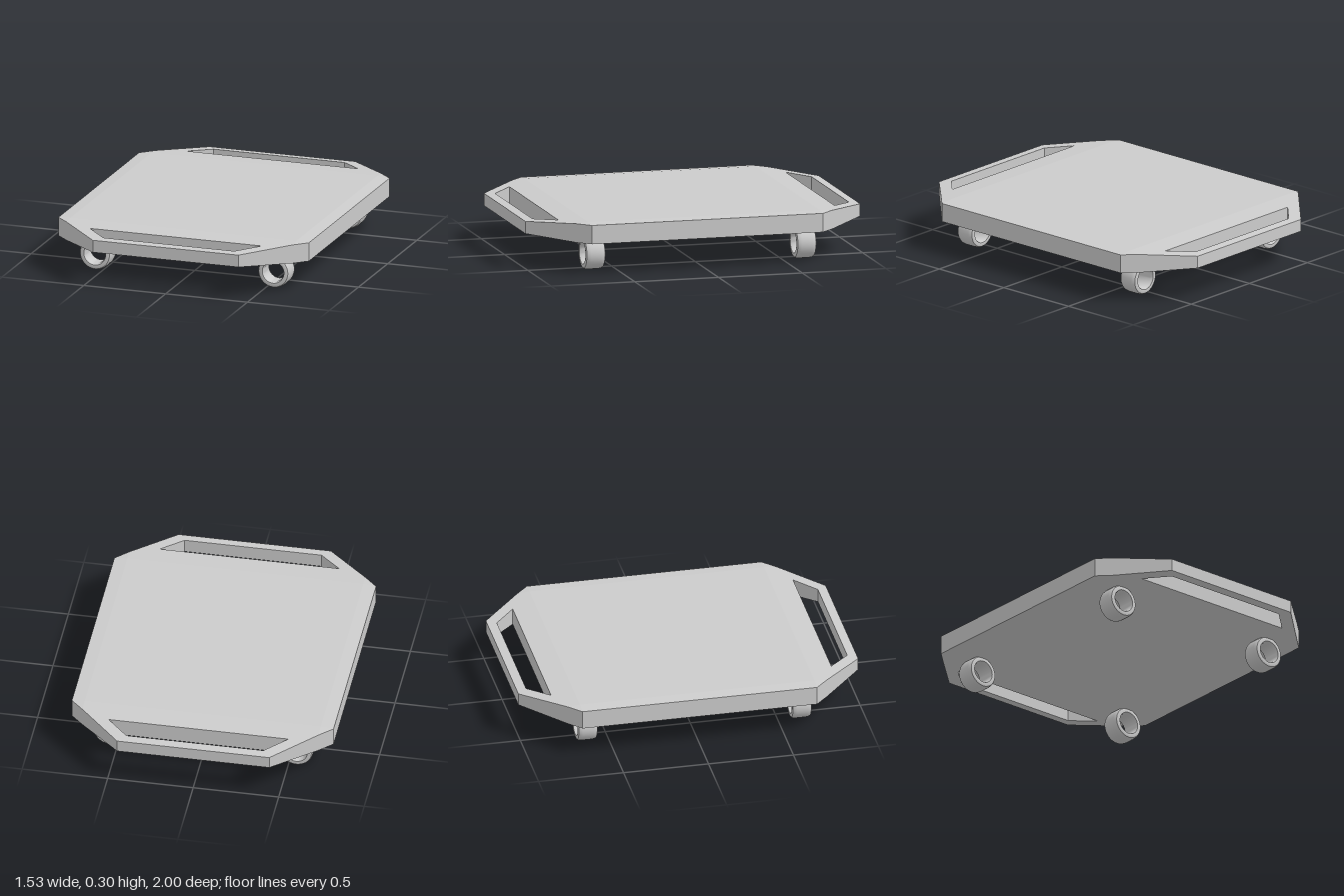
import * as THREE from 'three';
import { mergeGeometries, toCreasedNormals } from 'three/addons/utils/BufferGeometryUtils.js';

const MID = 0.241, HALF = 0.061;
const W = 0.765, IN = 0.69, ZB = 0.69, CUT = 0.763;

// half thickness of the deck: thins towards the ends and slightly at the sides
function half(x, z) {
  const dz = Math.max(0, Math.abs(z) - ZB) / (1 - ZB);
  const dx = Math.max(0, Math.abs(x) - IN) / (W - IN);
  return HALF - 0.025 * dz - 0.006 * dx;
}

const toShape = pts => new THREE.Shape(pts.map(p => new THREE.Vector2(...p)));

// one flat panel of the deck skin, on top (side 1) or underneath (side -1)
function skin(shape, side) {
  const g = new THREE.ShapeGeometry(shape).rotateX(-side * Math.PI / 2);
  const p = g.attributes.position;
  for (let i = 0; i < p.count; i++) p.setY(i, MID + side * half(p.getX(i), p.getZ(i)));
  const flat = g.toNonIndexed();
  flat.deleteAttribute('uv');
  return flat;
}

// upright walls following a closed loop
function walls(loop) {
  const v = [];
  loop.forEach(([ax, ay], i) => {
    const [bx, by] = loop[(i + 1) % loop.length];
    const ha = half(ax, ay), hb = half(bx, by);
    const a0 = [ax, MID - ha, -ay], a1 = [ax, MID + ha, -ay];
    const b0 = [bx, MID - hb, -by], b1 = [bx, MID + hb, -by];
    v.push(...a0, ...b0, ...b1, ...a0, ...b1, ...a1);
  });
  const g = new THREE.BufferGeometry();
  g.setAttribute('position', new THREE.Float32BufferAttribute(v, 3));
  g.setAttribute('normal', new THREE.Float32BufferAttribute(v.length, 3));
  return g;
}

function deckGeometry() {
  // turning a loop by 180 degrees keeps its winding
  const turn = pts => pts.map(([x, y]) => [-x, -y]);
  const rect = (x0, x1) => [[x0, -ZB], [x1, -ZB], [x1, ZB], [x0, ZB]];
  const end = [[-IN, ZB], [IN, ZB], [IN, CUT], [0.445, 1], [-0.445, 1], [-IN, CUT]];
  const slot = [[-0.525, 0.825], [-0.4, 0.945], [0.4, 0.945], [0.525, 0.825]];
  const edge = [[W, ZB], [IN, CUT], [0.445, 1], [-0.445, 1], [-IN, CUT], [-W, ZB]];

  const panels = [rect(-W, -IN), rect(-IN, IN), rect(IN, W)].map(toShape);
  for (const f of [p => p, turn]) {
    const s = toShape(f(end));
    s.holes.push(new THREE.Path(f(slot).map(p => new THREE.Vector2(...p))));
    panels.push(s);
    panels.push(toShape(f([[IN, ZB], [W, ZB], [IN, CUT]])));
    panels.push(toShape(f([[-IN, ZB], [-IN, CUT], [-W, ZB]])));
  }
  const parts = panels.flatMap(s => [skin(s, 1), skin(s, -1)]);
  parts.push(walls([...edge, ...turn(edge)]), walls(slot), walls(turn(slot)));
  const g = mergeGeometries(parts);
  g.computeVertexNormals();
  return g;
}

function wheelGeometry() {
  // ring section: rounded tread, bevelled rims, open bore
  const profile = [
    [0.06, -0.04], [0.066, -0.057], [0.08, -0.058], [0.089, -0.054], [0.094, -0.045], [0.096, -0.03],
    [0.096, 0.03], [0.094, 0.045], [0.089, 0.054], [0.08, 0.058], [0.066, 0.057], [0.06, 0.04], [0.06, -0.04],
  ].map(p => new THREE.Vector2(...p));
  return toCreasedNormals(new THREE.LatheGeometry(profile, 40).rotateX(Math.PI / 2), 0.6);
}

export function createModel() {
  const model = new THREE.Group();
  model.name = 'wheeledBoard';
  const material = new THREE.MeshStandardMaterial({ color: 0xcccccc });

  const deck = new THREE.Mesh(deckGeometry(), material);
  deck.name = 'deckWithHandSlots';
  model.add(deck);

  // four wheels under the corners
  const wheel = wheelGeometry();
  for (const x of [-1, 1]) for (const z of [-1, 1]) {
    const m = new THREE.Mesh(wheel, material);
    m.name = (z > 0 ? 'front' : 'back') + (x > 0 ? 'Left' : 'Right') + 'Wheel';
    m.position.set(x * 0.545, 0.096, z * 0.63);
    model.add(m);
  }
  return model;
}
